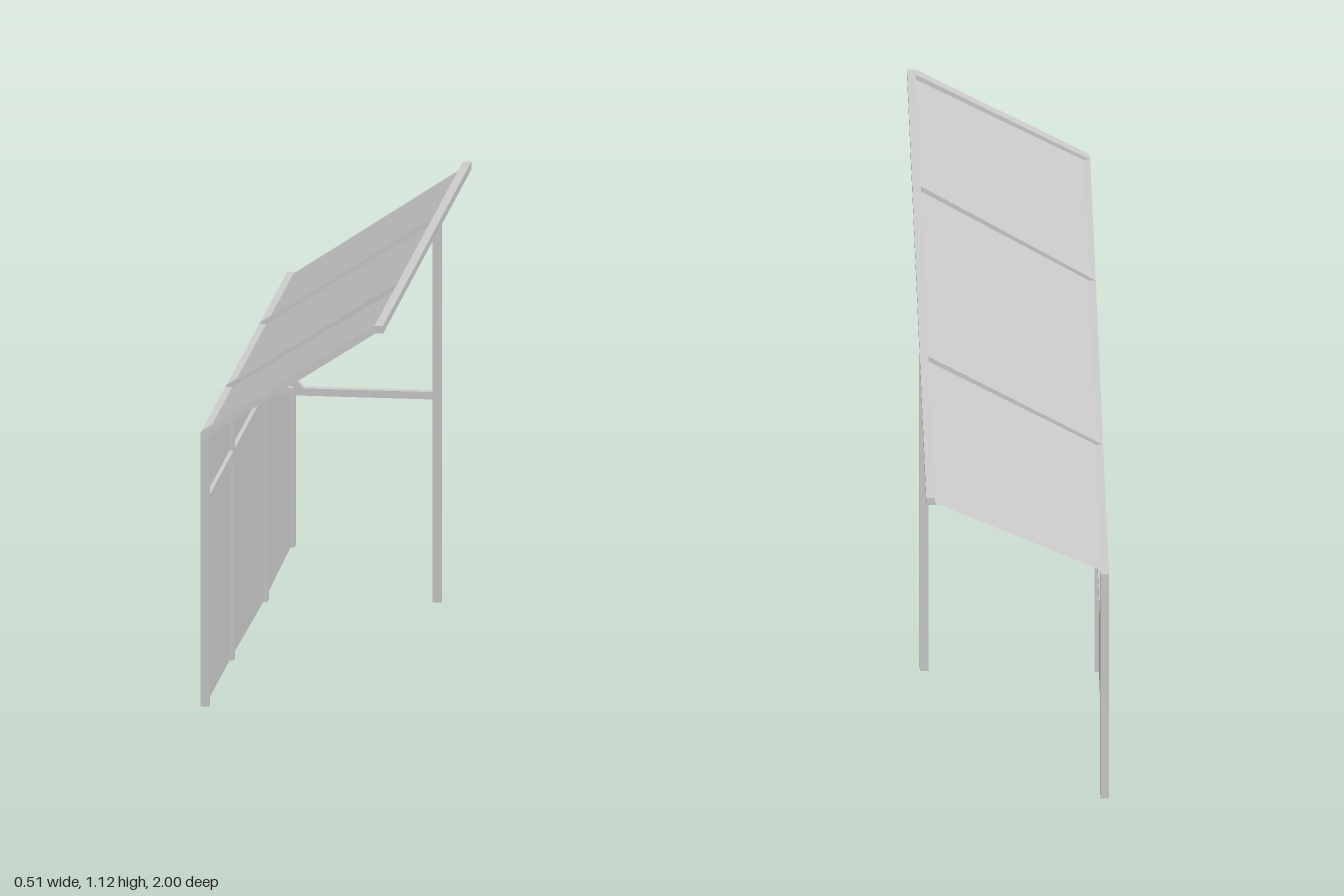
import * as THREE from 'three';

const mat = new THREE.MeshStandardMaterial({ color: 0xcccccc, flatShading: true });
const sheetMat = new THREE.MeshStandardMaterial({ color: 0xcccccc, flatShading: true, side: THREE.DoubleSide });

export function createModel() {
  const model = new THREE.Group();
  const T = 0.024; // timber thickness
  const WX = -0.245, PX = 0.244; // wall line and free post line
  const add = (name, geo, m = mat) => {
    const mesh = new THREE.Mesh(geo, m);
    mesh.name = name;
    model.add(mesh);
  };

  // Axis-aligned timber given by its limits
  const beam = (name, x0, x1, y0, y1, z0, z1) => add(name,
    new THREE.BoxGeometry(x1 - x0, y1 - y0, z1 - z0)
      .translate((x0 + x1) / 2, (y0 + y1) / 2, (z0 + z1) / 2));

  const shapeOf = (pts) => new THREE.Shape(pts.map(([x, y]) => new THREE.Vector2(x, y)));

  // Timber with an x-y outline, running from z = a (at x = WX) to z = b (at x = PX)
  const slanted = (name, pts, a, b) => {
    const geo = new THREE.ExtrudeGeometry(shapeOf(pts), { depth: T, bevelEnabled: false });
    const p = geo.attributes.position;
    for (let i = 0; i < p.count; i++) {
      const t = (p.getX(i) - WX) / (PX - WX);
      p.setZ(i, p.getZ(i) - T / 2 + a + (b - a) * t);
    }
    geo.computeVertexNormals();
    add(name, geo);
  };

  // Wall posts: [z centre, foot height]
  const posts = [[0.988, 0.015], [0.433, 0.015], [-0.33, 0.002], [-0.933, 0.015]];
  for (const [z, foot] of posts) {
    beam('wallPost', WX - T / 2, WX + T / 2, foot, 0.802, z - T / 2, z + T / 2);
  }

  // Wall rails in each bay
  for (let i = 0; i < 3; i++) {
    const z1 = posts[i][0] - T / 2, z0 = posts[i + 1][0] + T / 2;
    beam('middleRail', WX - T / 2, WX + T / 2, 0.6, 0.62, z0, z1);
    beam('topRail', WX - T / 2, WX + T / 2, 0.78, 0.802, z0, z1);
  }

  // Wall sheet, its lower edge following the post feet
  const wall = new THREE.ShapeGeometry(shapeOf([...posts, [-0.933, 0.79], [0.988, 0.79]]));
  add('wallPanel', wall.rotateY(-Math.PI / 2).translate(WX, 0, 0), sheetMat);

  // Free-standing post and the ridge beam it carries
  beam('freePost', PX - T / 2, PX + T / 2, 0.015, 1.1, -0.33 - T / 2, -0.33 + T / 2);
  beam('ridgeBeam', PX - T / 2, PX + T / 2, 1.1, 1.122, -1, 0.985);

  // Rafters
  const rafter = [[-0.257, 0.802], [-0.235, 0.794], [0.232, 1.098], [0.232, 1.122]];
  for (const [a, b] of [[0.988, 0.973], [0.429, 0.457], [-0.332, -0.332]]) slanted('rafter', rafter, a, b);

  // Roof sheet, a slightly tapered quadrilateral
  const roof = new THREE.PlaneGeometry(1, 1);
  [[WX, 0.797, 0.99], [PX, 1.112, 0.975], [WX, 0.797, -0.925], [PX, 1.112, -1]]
    .forEach((c, i) => roof.attributes.position.setXYZ(i, ...c));
  roof.computeVertexNormals();
  add('roofPanel', roof, sheetMat);

  // Tie beam with its corner brace
  beam('tieBeam', WX + T / 2, PX - T / 2, 0.599, 0.62, -0.33 - T / 2, -0.33 + T / 2);
  slanted('brace', [[-0.233, 0.695], [-0.16, 0.62], [-0.13, 0.62], [-0.233, 0.724]], -0.33, -0.33);

  return model;
}
